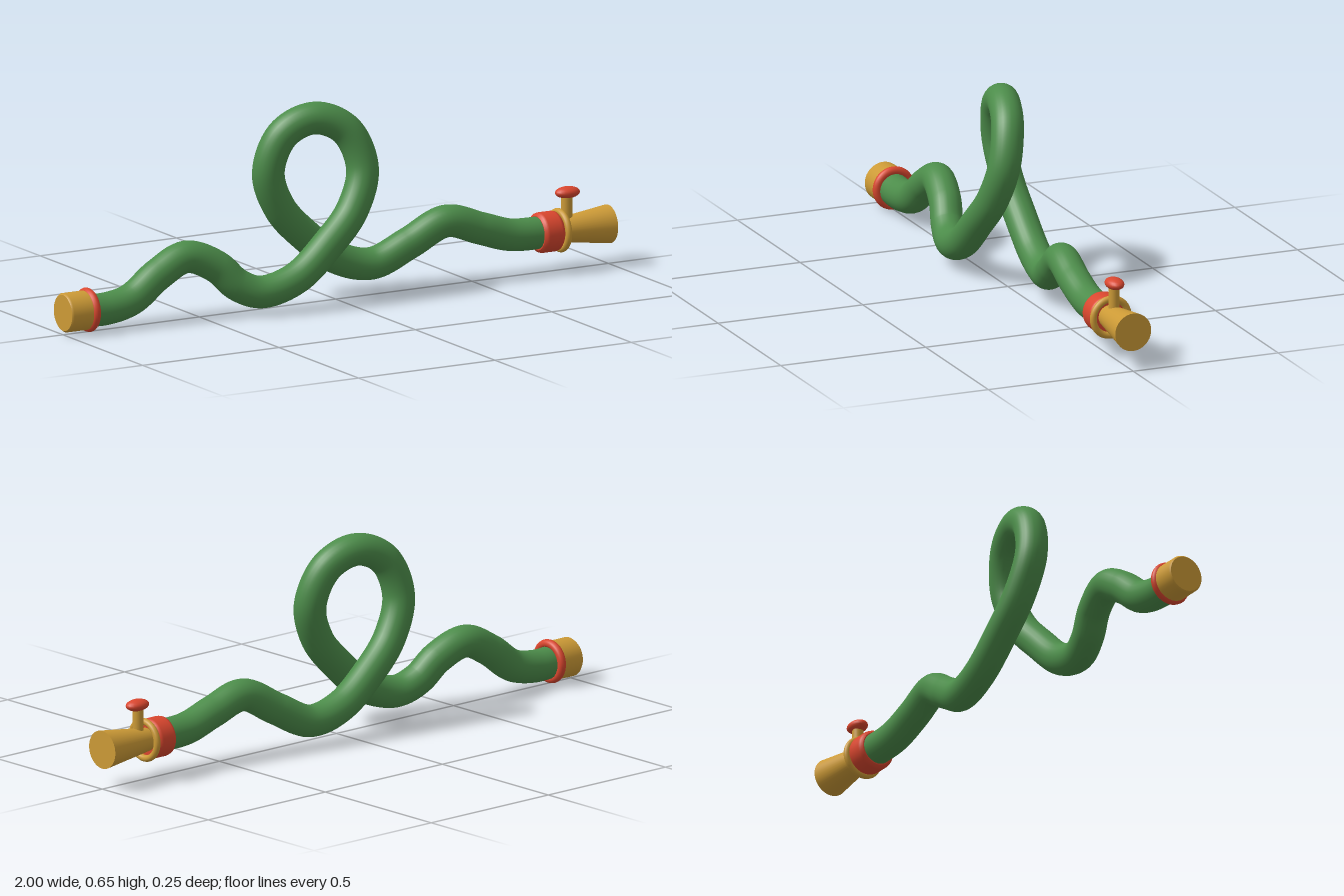
import * as THREE from 'three';

const material = (name, color) => Object.assign(new THREE.MeshStandardMaterial({ color }), { name });

export function createModel() {
  const green = material('hoseGreen', 0x4c8c4a);
  const red = material('fittingRed', 0xd9462e);
  const brass = material('brass', 0xcc9a36);
  const group = new THREE.Group();

  const add = (name, geometry, mat, x, y, z = 0) => {
    const mesh = new THREE.Mesh(geometry, mat);
    mesh.name = name;
    mesh.position.set(x, y, z);
    group.add(mesh);
    return mesh;
  };
  // Turned part along +x; sharp corners come from separate profile pieces
  const turned = (name, mat, y, ...profiles) => {
    profiles.forEach((profile, i) => {
      const points = profile.map(([r, x]) => new THREE.Vector2(r, x));
      const geometry = new THREE.LatheGeometry(points, 40).rotateZ(-Math.PI / 2);
      add(i ? name + 'Face' + i : name, geometry, mat, 0, y);
    });
  };
  const ring = (name, mat, x, y, radius, tube) =>
    add(name, new THREE.TorusGeometry(radius, tube, 14, 48).rotateY(Math.PI / 2), mat, x, y);

  // Hose: two waves with a loop between them
  const path = [
    [-0.94, 0.073, 0], [-0.84, 0.07, 0], [-0.75, 0.09, 0], [-0.65, 0.16, 0],
    [-0.55, 0.205, 0.004], [-0.45, 0.165, 0.022], [-0.385, 0.103, 0.042], [-0.31, 0.074, 0.06],
    [-0.19, 0.107, 0.074], [-0.07, 0.205, 0.074], [0.025, 0.305, 0.063], [0.073, 0.43, 0.043],
    [0.03, 0.552, 0.014], [-0.07, 0.597, -0.014], [-0.17, 0.552, -0.038], [-0.213, 0.43, -0.058],
    [-0.165, 0.305, -0.07], [-0.07, 0.205, -0.075], [0.05, 0.116, -0.073], [0.17, 0.088, -0.062],
    [0.29, 0.145, -0.036], [0.41, 0.207, -0.011], [0.53, 0.172, -0.001], [0.64, 0.138, 0], [0.77, 0.132, 0],
  ].map((p) => new THREE.Vector3(...p));
  add('hose', new THREE.TubeGeometry(new THREE.CatmullRomCurve3(path), 260, 0.052, 24), green, 0, 0);

  // Tap end: brass coupling and red ring
  const tapY = 0.074;
  turned('coupling', brass, tapY,
    [[0, -1], [0.058, -1]],
    [[0.058, -1], [0.063, -0.994], [0.063, -0.91]],
    [[0.063, -0.91], [0, -0.91]]);
  ring('couplingRing', red, -0.91, tapY, 0.057, 0.014);

  // Nozzle end: red collar, brass ring and flared nozzle
  const nozzleY = 0.132;
  turned('collar', red, nozzleY,
    [[0, 0.736], [0.055, 0.736]],
    [[0.055, 0.736], [0.063, 0.742], [0.065, 0.75], [0.065, 0.795], [0.063, 0.803], [0.055, 0.81]],
    [[0.055, 0.81], [0, 0.81]]);
  ring('nozzleRing', brass, 0.82, nozzleY, 0.06, 0.011);
  turned('nozzle', brass, nozzleY,
    [[0.036, 0.80], [0.062, 1]],
    [[0.062, 1], [0, 1]]);

  // Valve on top of the nozzle
  add('valveStem', new THREE.CylinderGeometry(0.018, 0.018, 0.09, 20), brass, 0.847, 0.2);
  const knob = add('valveKnob', new THREE.SphereGeometry(1, 24, 12), red, 0.85, 0.252);
  knob.scale.set(0.043, 0.019, 0.029);

  return group;
}
